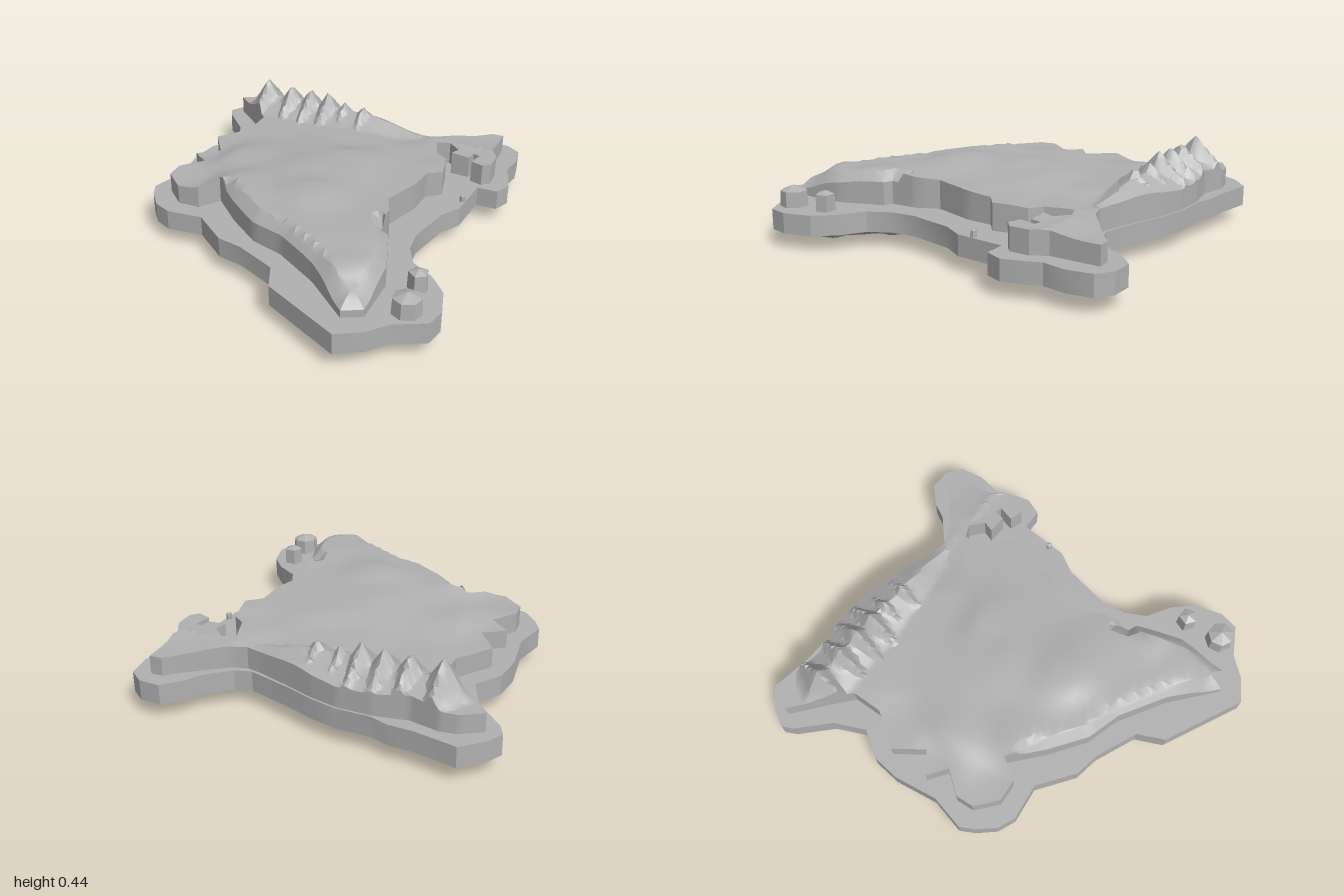
import * as THREE from 'three';
import { toCreasedNormals } from 'three/addons/utils/BufferGeometryUtils.js';

const pairs = (a) => Array.from({ length: a.length / 2 }, (_, i) => new THREE.Vector2(a[2 * i], -a[2 * i + 1]));

// Plan outlines as x, z pairs
const SEA = pairs([
  -0.8, -0.88, -0.6, -0.85, -0.48, -0.85, -0.39, -0.825, -0.22, -0.83, -0.09, -0.805, 0.06, -0.76, 0.27, -0.71,
  0.35, -0.735, 0.46, -0.84, 0.495, -0.915, 0.575, -1, 0.68, -1, 0.755, -0.95, 0.78, -0.83, 0.765, -0.715,
  0.8, -0.64, 0.83, -0.545, 0.8, -0.46, 0.695, -0.455, 0.69, -0.21, 0.635, -0.105, 0.6, 0.13, 0.62, 0.25,
  0.68, 0.355, 0.795, 0.42, 0.885, 0.515, 0.93, 0.65, 0.915, 0.745, 0.78, 0.825, 0.705, 0.92, 0.595, 0.995,
  0.2, 0.815, 0.135, 0.685, -0.075, 0.6, -0.205, 0.58, -0.385, 0.455, -0.565, 0.48, -0.655, 0.445, -0.73, 0.365,
  -0.77, 0.295, -0.735, 0.12, -0.775, -0.1, -0.765, -0.24, -0.685, -0.37, -0.76, -0.52, -0.905, -0.655,
  -0.935, -0.71, -0.895, -0.79]);
const COAST = pairs([
  -0.865, -0.725, -0.77, -0.79, -0.69, -0.805, -0.55, -0.78, -0.39, -0.815, -0.22, -0.82, -0.09, -0.795,
  0.06, -0.75, 0.22, -0.705, 0.3, -0.69, 0.375, -0.715, 0.465, -0.79, 0.54, -0.85, 0.61, -0.92, 0.67, -0.925,
  0.685, -0.69, 0.73, -0.62, 0.735, -0.525, 0.7, -0.49, 0.635, -0.51, 0.65, -0.59, 0.615, -0.6, 0.61, -0.545,
  0.515, -0.545, 0.53, -0.6, 0.465, -0.655, 0.4, -0.625, 0.45, -0.5, 0.515, -0.46, 0.56, -0.3, 0.495, -0.24,
  0.495, -0.105, 0.44, 0.105, 0.495, 0.21, 0.51, 0.345, 0.555, 0.36, 0.645, 0.58, 0.66, 0.83, 0.575, 0.88,
  0.35, 0.7, 0.12, 0.57, -0.05, 0.525, -0.23, 0.405, -0.39, 0.27, -0.45, 0.375, -0.56, 0.385, -0.665, 0.3,
  -0.675, 0.21, -0.595, 0.095, -0.69, 0.03, -0.59, -0.05, -0.695, -0.185, -0.585, -0.355, -0.595, -0.51,
  -0.705, -0.6]);

// Terrain heights as [x, z, y]
const SPOTS = [
  [0, 0, 0.355], [0.1, 0.25, 0.375], [0.1, -0.2, 0.345], [-0.25, 0.3, 0.35], [-0.55, 0.3, 0.285],
  [-0.64, 0.0, 0.28], [-0.62, -0.25, 0.285], [-0.42, 0, 0.325], [0.45, 0, 0.33], [0.52, 0.42, 0.355],
  [0.6, 0.84, 0.275], [0.5, 0.65, 0.34], [0.25, 0.55, 0.345], [0, -0.45, 0.31], [-0.4, -0.45, 0.3],
  [0.4, -0.5, 0.31], [0.68, -0.56, 0.3], [0.64, -0.9, 0.28], [0.2, -0.68, 0.29], [-0.3, -0.8, 0.28],
  [-0.82, -0.72, 0.28], [0, 0.48, 0.34], [0.52, -0.3, 0.32]];
// Summits of the mountain range as [x, z, y]
const PEAKS = [[-0.65, -0.67, 0.46], [-0.5, -0.67, 0.45], [-0.38, -0.67, 0.45], [-0.27, -0.67, 0.45],
  [-0.17, -0.67, 0.415], [-0.05, -0.66, 0.415]];

function edgeDistance(outline, x, y) {
  let best = Infinity;
  outline.forEach((a, i) => {
    const b = outline[(i + 1) % outline.length];
    const dx = b.x - a.x, dy = b.y - a.y;
    const t = THREE.MathUtils.clamp(((x - a.x) * dx + (y - a.y) * dy) / (dx * dx + dy * dy), 0, 1);
    best = Math.min(best, Math.hypot(x - a.x - t * dx, y - a.y - t * dy));
  });
  return best;
}

function landHeight(x, y) {
  const z = -y;
  let sum = 0, weight = 0;
  for (const [sx, sz, h] of SPOTS) {
    const w = 1 / (((x - sx) ** 2 + (z - sz) ** 2) ** 1.5 + 1e-4);
    sum += w * h;
    weight += w;
  }
  let h = sum / weight;
  // Bevelled southern cliff
  if (z > 0.28 && x > -0.35) h -= 0.05 * Math.max(0, 1 - edgeDistance(COAST, x, y) / 0.05);
  // Broad ridge with steep ribbed summits
  const crest = 0.365 - 0.055 * THREE.MathUtils.smoothstep(x, -0.05, 0.3) - 0.09 * THREE.MathUtils.smoothstep(-x, 0.66, 0.82);
  h = Math.max(h, crest - 0.5 * Math.abs(z + 0.67));
  for (const [px, pz, top] of PEAKS) {
    h = Math.max(h, top - 1.5 * Math.abs(x - px) - 0.9 * Math.abs(z - pz));
  }
  return h;
}

function undersideHeight(x, y) {
  const drop = THREE.MathUtils.smoothstep(edgeDistance(SEA, x, y), 0.06, 0.2);
  const rough = Math.sin(x * 31 + y * 9) * Math.sin(y * 27 - x * 13);
  return 0.105 - drop * 0.088 + rough * 0.03 * drop * (1.12 - drop);
}

// Fills an outline with small triangles by halving long edges
function fill(outline, maxEdge) {
  const pts = THREE.ShapeUtils.isClockWise(outline) ? [...outline].reverse() : outline;
  const todo = THREE.ShapeUtils.triangulateShape(pts, []).map((f) => f.map((i) => pts[i]));
  const done = [];
  while (todo.length) {
    const tri = todo.pop();
    let split = -1, longest = 0;
    for (let i = 0; i < 3; i++) {
      const a = tri[i], b = tri[(i + 1) % 3], len = a.distanceTo(b);
      if (len > maxEdge((a.x + b.x) / 2, (a.y + b.y) / 2) && len > longest) {
        longest = len;
        split = i;
      }
    }
    if (split < 0) {
      done.push(tri);
      continue;
    }
    const a = tri[split], b = tri[(split + 1) % 3], c = tri[(split + 2) % 3];
    const m = a.clone().add(b).multiplyScalar(0.5);
    todo.push([a, m, c], [m, b, c]);
  }
  return done;
}

function toGeometry(positions, crease) {
  const geo = new THREE.BufferGeometry();
  geo.setAttribute('position', new THREE.Float32BufferAttribute(positions, 3));
  return toCreasedNormals(geo, crease);
}

function landGeometry() {
  const tris = fill(COAST, (x, y) => (y > 0.48 && x < 0.1 ? 0.03 : 0.06));
  const positions = [], edges = new Map();
  const key = (p) => `${p.x.toFixed(5)},${p.y.toFixed(5)}`;
  const top = (p) => [p.x, landHeight(p.x, p.y), -p.y];
  const base = (p) => [p.x, 0.17, -p.y];
  for (const t of tris) {
    t.forEach((p, i) => {
      positions.push(...top(p));
      const q = t[(i + 1) % 3];
      edges.set(key(p) + '|' + key(q), [p, q]);
    });
  }
  // Cliffs hang from every edge that has no neighbour
  for (const [a, b] of edges.values()) {
    if (edges.has(key(b) + '|' + key(a))) continue;
    positions.push(...base(a), ...base(b), ...top(b), ...base(a), ...top(b), ...top(a));
  }
  return toGeometry(positions, 0.5);
}

function undersideGeometry() {
  const positions = [];
  for (const [a, b, c] of fill(SEA, () => 0.07)) {
    for (const p of [a, c, b]) positions.push(p.x, undersideHeight(p.x, p.y), -p.y);
  }
  return toGeometry(positions, 0.35);
}

export function createModel() {
  const group = new THREE.Group();
  const stone = new THREE.MeshStandardMaterial({ color: 0xb0b0b0 });
  stone.name = 'grey stone';
  const add = (name, geo) => {
    const mesh = new THREE.Mesh(geo, stone);
    mesh.name = name;
    group.add(mesh);
    return mesh;
  };

  // Flat sea slab
  const slab = new THREE.ExtrudeGeometry(new THREE.Shape(SEA), { depth: 0.1, bevelEnabled: false });
  slab.rotateX(-Math.PI / 2).translate(0, 0.09, 0);
  add('seaSlab', toCreasedNormals(slab, 0.4));

  add('land', landGeometry());
  add('underside', undersideGeometry());

  // Small islands: x, z, radius, top height, sides
  const islets = [[0.775, 0.53, 0.05, 0.27, 5], [0.8, 0.715, 0.07, 0.265, 7], [0.675, -0.285, 0.015, 0.22, 6]];
  for (const [x, z, r, top, sides] of islets) {
    const h = top - 0.17;
    const rock = new THREE.CylinderGeometry(r * 0.92, r, h, sides).toNonIndexed();
    rock.computeVertexNormals();
    add('islet', rock).position.set(x, 0.17 + h / 2, z);
    const cap = new THREE.ConeGeometry(r * 0.92, r * 0.35, sides, 1, true).toNonIndexed();
    cap.computeVertexNormals();
    add('isletCap', cap).position.set(x, top + r * 0.175, z);
  }
  return group;
}
